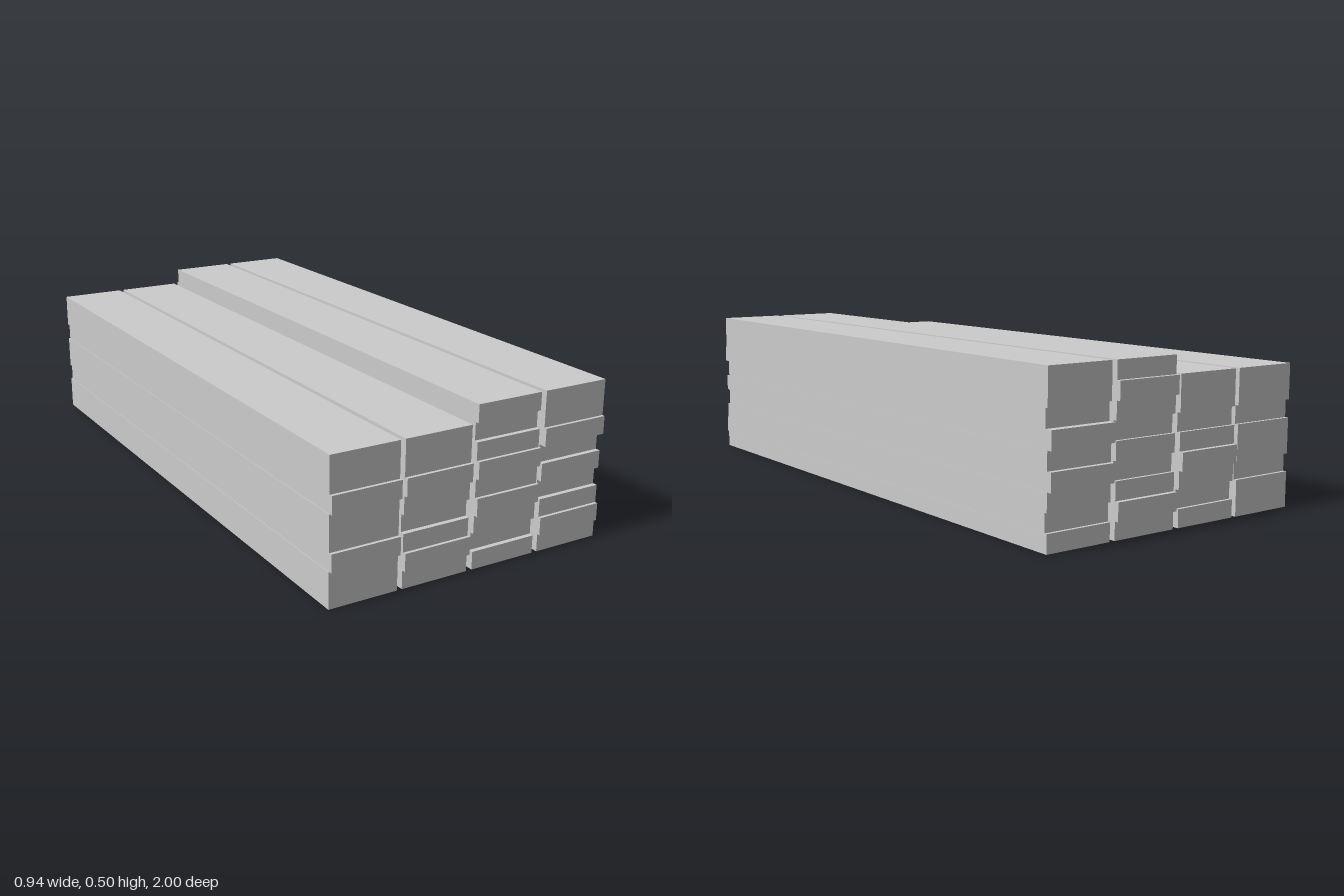
import * as THREE from 'three';

export function createModel() {
  const group = new THREE.Group();
  group.name = 'plankStack';
  const material = new THREE.MeshStandardMaterial({ color: 0xcccccc, flatShading: true });

  const thickness = 0.5 / 9;
  const plank = new THREE.BoxGeometry(0.222, thickness, 1.975);

  // End shift of each plank, bottom to top: o = level, f = forward, b = backward
  const shift = { o: 0.0025, f: 0.0125, b: -0.0125 };
  const columns = [
    { x: -0.361, rows: 'oofoofoo' },
    { x: -0.123, rows: 'ofobofoo' },
    { x: 0.119, rows: 'obofofobo' },
    { x: 0.359, rows: 'ofobobfoo' },
  ];

  columns.forEach(({ x, rows }, c) => {
    const column = new THREE.Group();
    column.name = `plankColumn${c + 1}`;
    [...rows].forEach((row, i) => {
      const mesh = new THREE.Mesh(plank, material);
      mesh.name = `plank${i + 1}`;
      // Shifted planks also sit slightly sideways
      const side = row === 'o' ? 0 : c === 3 ? -0.001 : 0.002;
      mesh.position.set(x + side, (i + 0.5) * thickness, shift[row]);
      column.add(mesh);
    });
    group.add(column);
  });
  return group;
}
